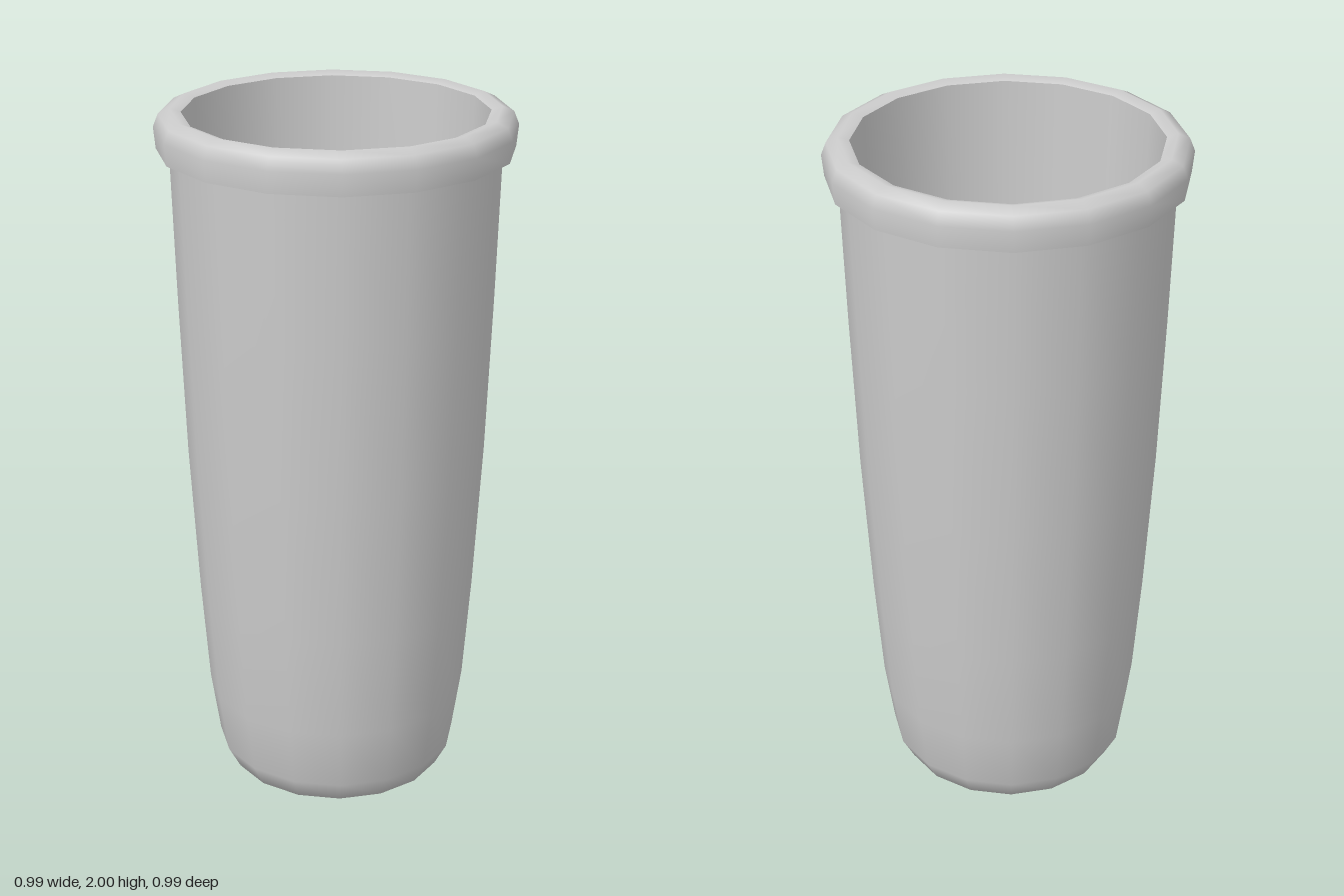
import * as THREE from 'three';

const SIDES = 16;

export function createModel() {
  const cup = new THREE.Group();
  cup.name = 'cup';
  const grey = new THREE.MeshStandardMaterial({ color: 0xcccccc });
  grey.name = 'grey';

  // Each section is its own lathe, so shading is smooth within it and sharp between sections
  function section(name, profile) {
    const points = profile.map(([r, y]) => new THREE.Vector2(r, y));
    const mesh = new THREE.Mesh(new THREE.LatheGeometry(points, SIDES), grey);
    mesh.name = name;
    cup.add(mesh);
  }

  // Profile runs from the base centre, up the outside, over the rim and down the inside
  section('base', [[0, 0], [0.25, 0]]);
  section('outerWall', [
    [0.25, 0], [0.315, 0.025], [0.35, 0.09], [0.377, 0.27],
    [0.4, 0.57], [0.425, 1.0], [0.442, 1.45], [0.455, 1.89],
  ]);
  section('rimUnderside', [[0.455, 1.89], [0.49, 1.89]]);
  section('rim', [
    [0.49, 1.89], [0.496, 1.95], [0.482, 1.985], [0.45, 2], [0.42, 1.99],
  ]);
  section('upperInnerWall', [[0.42, 1.99], [0.39, 1.0]]);
  section('lowerInnerWall', [[0.39, 1.0], [0.35, 0.4], [0.305, 0.09]]);
  section('innerFloor', [[0.305, 0.09], [0, 0.09]]);

  return cup;
}
